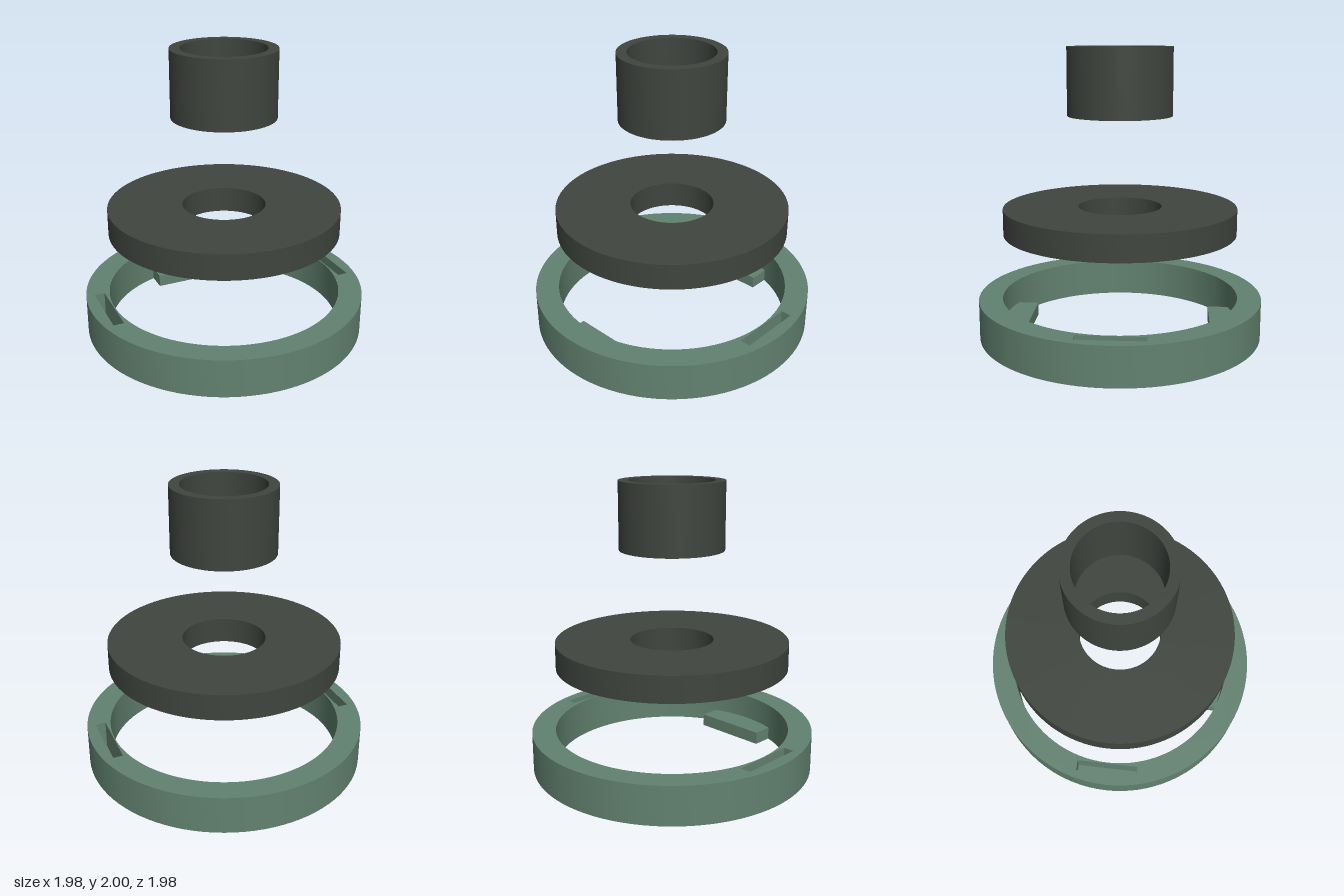
import * as THREE from 'three';
import { toCreasedNormals } from 'three/addons/utils/BufferGeometryUtils.js';

const SEGMENTS = 96;

const green = new THREE.MeshStandardMaterial({ color: 0x628270, side: THREE.DoubleSide });
green.name = 'sage green';
const dark = new THREE.MeshStandardMaterial({ color: 0x40453f });
dark.name = 'charcoal';

function addMesh(parent, name, geometry, material) {
  const mesh = new THREE.Mesh(geometry, material);
  mesh.name = name;
  parent.add(mesh);
  return mesh;
}

// Surface of revolution with sharp rims and smooth walls
function turned(points) {
  const profile = points.map(([r, y]) => new THREE.Vector2(r, y));
  return toCreasedNormals(new THREE.LatheGeometry(profile, SEGMENTS), 0.6);
}

// Closed hollow cylinder
function hollowCylinder(inner, outer, bottom, top) {
  return turned([[inner, top], [inner, bottom], [outer, bottom], [outer, top], [inner, top]]);
}

// Bottom ring with two blind slots in its top face and two inward tabs
function createBaseRing() {
  const ring = new THREE.Group();
  ring.name = 'baseRing';
  const inner = 0.825, outer = 0.99, height = 0.27;
  const slot = { x0: 0.832, x1: 0.905, half: 0.225, depth: 0.2 };

  addMesh(ring, 'ringBody', turned([[inner, height], [inner, 0], [outer, 0], [outer, height]]), green);

  // Top face, pierced by the slots
  const face = new THREE.Shape().absarc(0, 0, outer, 0, Math.PI * 2);
  face.holes.push(new THREE.Path().absarc(0, 0, inner, 0, Math.PI * 2, true));
  for (const side of [-1, 1]) {
    face.holes.push(new THREE.Path([
      [slot.x0, -slot.half], [slot.x1, -slot.half], [slot.x1, slot.half], [slot.x0, slot.half],
    ].map(([x, y]) => new THREE.Vector2(side * x, y))));
  }
  const faceGeometry = new THREE.ShapeGeometry(face, SEGMENTS / 2);
  faceGeometry.rotateX(-Math.PI / 2).translate(0, height, 0);
  addMesh(ring, 'ringTopFace', faceGeometry, green);

  for (const side of [-1, 1]) {
    // Slot lining: an inside-out box without its lid
    const lining = new THREE.BoxGeometry(slot.x1 - slot.x0, slot.depth, slot.half * 2);
    const index = Array.from(lining.index.array);
    index.splice(12, 6);
    lining.setIndex(index.reverse());
    const normals = lining.attributes.normal.array;
    for (let i = 0; i < normals.length; i++) normals[i] *= -1;
    const liningMesh = addMesh(ring, side > 0 ? 'leftSlot' : 'rightSlot', lining, green);
    liningMesh.position.set(side * (slot.x0 + slot.x1) / 2, height - slot.depth / 2, 0);

    // Straight-edged tab reaching inward from the ring wall
    const tab = addMesh(ring, side > 0 ? 'frontTab' : 'backTab', new THREE.BoxGeometry(0.54, 0.09, 0.205), green);
    tab.position.set(0, 0.045, side * 0.7375);
  }
  return ring;
}

export function createModel() {
  const model = new THREE.Group();
  model.name = 'explodedRingAssembly';
  model.add(createBaseRing());
  addMesh(model, 'disc', hollowCylinder(0.29, 0.81, 0.725, 0.905), dark);
  addMesh(model, 'sleeve', hollowCylinder(0.29, 0.36, 1.535, 2), dark);
  return model;
}
